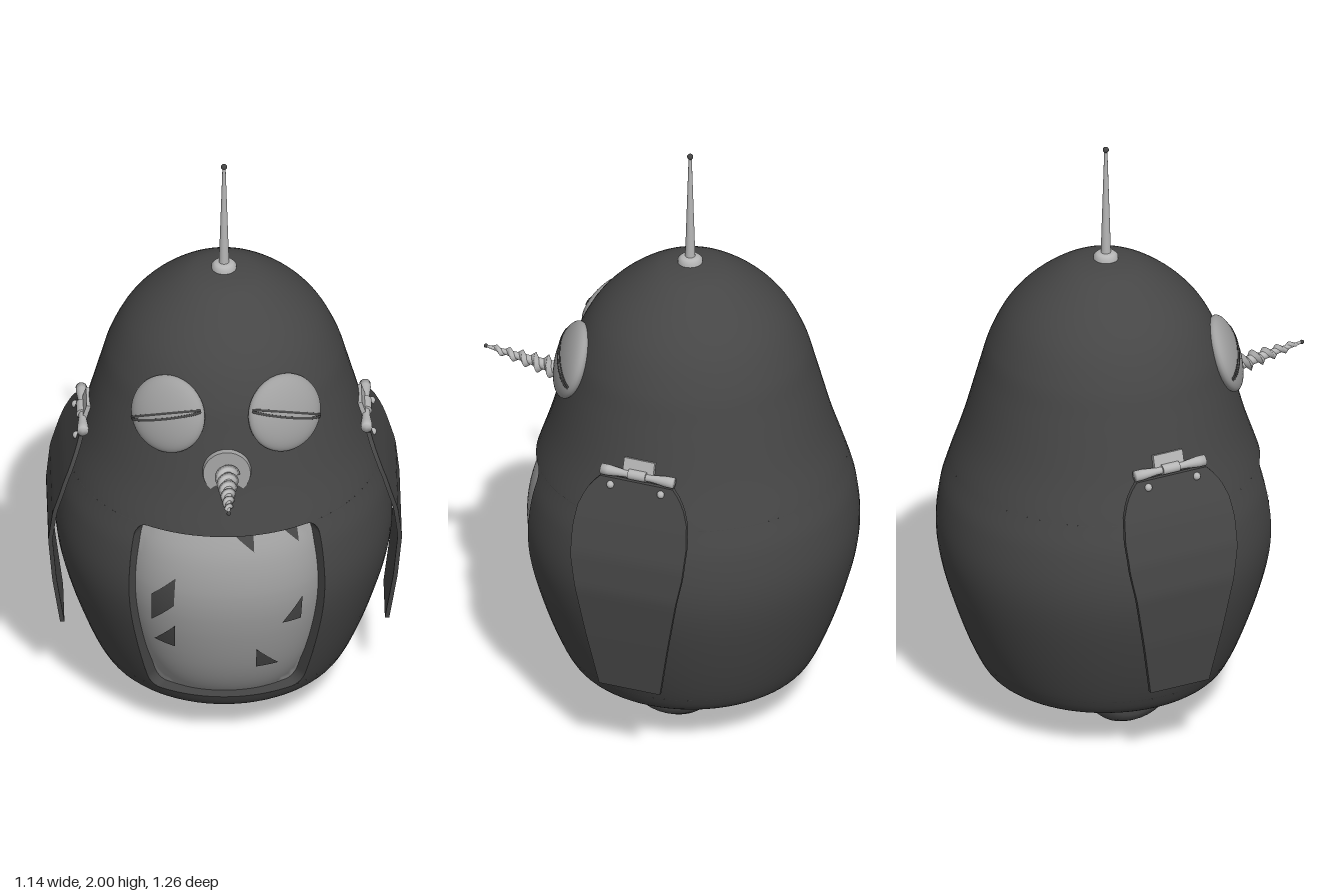
import * as THREE from 'three';
import { ParametricGeometry } from 'three/addons/geometries/ParametricGeometry.js';

const CZ = -0.09;      // z of the body's axis
const OPEN = 0.62;     // half angle of the belly opening
const Y0 = 0.2, Y1 = 0.885;

function material(name, color, side = THREE.FrontSide) {
  const m = new THREE.MeshStandardMaterial({ color, side });
  m.name = name;
  return m;
}

export function createModel() {
  const root = new THREE.Group();
  root.name = 'robotBird';
  const dark = material('charcoal', 0x464646, THREE.DoubleSide);
  const grey = material('grey', 0xa0a0a0, THREE.DoubleSide);
  const metal = material('metal', 0xb6b6b6, THREE.DoubleSide);

  const add = (name, geo, mat, parent = root, x = 0, y = 0, z = 0) => {
    const m = new THREE.Mesh(geo, mat);
    m.name = name;
    m.position.set(x, y, z);
    parent.add(m);
    return m;
  };
  const surface = (fn, nu, nv) => new ParametricGeometry(fn, nu, nv);
  const group = (name, x, y, z) => {
    const g = new THREE.Group();
    g.name = name;
    g.position.set(x, y, z);
    root.add(g);
    return g;
  };
  const lathe = (pts, n = 32) => new THREE.LatheGeometry(pts.map(p => new THREE.Vector2(...p)), n);

  // Body profile (radius, height)
  const profile = new THREE.SplineCurve([
    [0.30, 0.125], [0.37, 0.14], [0.415, Y0], [0.475, 0.35], [0.525, 0.52], [0.542, 0.65],
    [0.53, 0.78], [0.5, Y1], [0.455, 1.02], [0.405, 1.2], [0.372, 1.31], [0.315, 1.42],
    [0.23, 1.51], [0.12, 1.58], [0.004, 1.602],
  ].map(p => new THREE.Vector2(...p)));
  const tOpen0 = 2 / 14, tOpen1 = 7 / 14;
  const samples = profile.getPoints(280);
  const radiusAt = y => {
    const i = Math.max(1, samples.findIndex(p => p.y >= y));
    const a = samples[i - 1], b = samples[i];
    return THREE.MathUtils.lerp(a.x, b.x, (y - a.y) / (b.y - a.y));
  };
  const polar = (r, phi, y, out) => out.set(r * Math.sin(phi), y, CZ + r * Math.cos(phi));

  // Opening half angle, with rounded corners at both ends
  const openAt = y => {
    const s = Math.min(1, Math.max(0, 1 - Math.min(y - Y0, Y1 - y) / 0.045));
    return OPEN - 0.08 * (1 - Math.sqrt(1 - s * s));
  };
  const ease = v => (1 - Math.cos(Math.PI * v)) / 2;

  // Body shell: base, middle with opening, and head
  const band = (t0, t1) => (u, v, out) => {
    const p = profile.getPoint(t0 + (t1 - t0) * v);
    polar(p.x, u * Math.PI * 2, p.y, out);
  };
  add('bodyBase', surface(band(0, tOpen0), 72, 10), dark);
  add('head', surface(band(tOpen1, 1), 72, 40), dark);
  add('bodyMiddle', surface((u, v, out) => {
    const p = profile.getPoint(tOpen0 + (tOpen1 - tOpen0) * ease(v));
    const a = openAt(p.y);
    polar(p.x, a + u * 2 * (Math.PI - a), p.y, out);
  }, 60, 40), dark);
  add('bodyUnderside', new THREE.CircleGeometry(0.302, 64).rotateX(Math.PI / 2), dark, root, 0, 0.125, CZ);

  // Walls of the belly opening
  for (const s of [-1, 1]) {
    add('openingSideWall', surface((u, v, out) => {
      const y = THREE.MathUtils.lerp(Y0, Y1, ease(v));
      polar(radiusAt(y) - 0.06 * u, s * openAt(y), y, out);
    }, 1, 30), dark);
  }
  for (const y of [Y0, Y1]) {
    add('openingEdgeWall', surface((u, v, out) =>
      polar(radiusAt(y) - 0.06 * v, (u * 2 - 1) * 0.54, y, out), 24, 1), dark);
  }

  // Belly panel, bulging inside the opening
  const bellyPoint = (phi, y, lift, out) => {
    const p = phi / 0.66, q = (y - 0.54) / 0.36;
    const inset = 0.01 + 0.034 * Math.min(1, p ** 4 + q ** 4);
    return polar(radiusAt(y) - inset + lift, phi, y, out);
  };
  add('bellyPanel', surface((u, v, out) =>
    bellyPoint((u * 2 - 1) * 0.66, 0.19 + 0.71 * v, 0, out), 32, 32), grey);

  // Dark patches on the belly: corners in x, y, anticlockwise
  const patches = [
    [[0.09, 0.82], [0.09, 0.884], [0.01, 0.884]],
    [[0.245, 0.82], [0.245, 0.884], [0.18, 0.884]],
    [[-0.25, 0.535], [-0.175, 0.62], [-0.17, 0.725], [-0.25, 0.645]],
    [[-0.24, 0.445], [-0.17, 0.435], [-0.17, 0.535]],
    [[0.18, 0.54], [0.245, 0.535], [0.25, 0.63]],
    [[0.095, 0.345], [0.17, 0.345], [0.095, 0.435]],
  ];
  for (const c of patches) {
    const [a, b, d, e = d] = c;
    add('bellyPatch', surface((u, v, out) => {
      const mix = k => THREE.MathUtils.lerp(
        THREE.MathUtils.lerp(a[k], b[k], u), THREE.MathUtils.lerp(e[k], d[k], u), v);
      const x = mix(0), y = mix(1);
      bellyPoint(Math.asin(x / radiusAt(y)), y, 0.004, out);
    }, 6, 6), dark);
  }

  // Eyes with a slanted slit between the lids
  for (const s of [-1, 1]) {
    const eye = group(s > 0 ? 'leftEye' : 'rightEye', s * 0.187, 1.26, 0.25);
    eye.rotation.set(-0.33, s * 0.5, 0, 'YXZ');
    eye.scale.set(0.13, 0.128, 0.045);
    add('eyeball', new THREE.SphereGeometry(1, 32, 24), grey, eye);
    for (const t of [-0.07, 0.07]) {
      const arc = 2.5;
      const slit = new THREE.TorusGeometry(1.005, 0.035, 6, 32, arc)
        .rotateZ((Math.PI - arc) / 2).rotateX(Math.PI / 2 + t);
      add('eyeSlit', slit, dark, eye).rotation.z = -s * 0.36;
    }
  }

  // Screw beak on a round plate
  const beak = group('beak', 0, 1.09, 0.335);
  beak.rotation.x = -0.12;
  add('beakPlate', new THREE.CylinderGeometry(0.076, 0.082, 0.03, 32).rotateX(Math.PI / 2), grey, beak);
  add('beakCore', new THREE.CylinderGeometry(0.004, 0.024, 0.29, 16).rotateX(Math.PI / 2), metal, beak, 0, 0, 0.145);
  add('beakThread', surface((u, v, out) => {
    const a = v * Math.PI * 2 * 5.5;
    const core = 0.022 - 0.016 * v;
    const r = core + (0.02 - 0.012 * v) * (1 - Math.abs(2 * u - 1));
    out.set(r * Math.cos(a), r * Math.sin(a), 0.02 + 0.24 * v + (u - 0.5) * 0.026);
  }, 4, 140), metal, beak);
  add('beakTip', new THREE.SphereGeometry(0.007, 10, 8), dark, beak, 0, 0, 0.288);

  // Antenna
  const antenna = group('antenna', 0, 1.6, -0.085);
  add('antennaBase', lathe([[0.04, -0.015], [0.04, 0.008], [0.03, 0.017], [0.018, 0.02], [0, 0.02]]), metal, antenna);
  add('antennaRod', new THREE.CylinderGeometry(0.005, 0.017, 0.39, 16), metal, antenna, 0, 0.195, 0);
  add('antennaBall', new THREE.SphereGeometry(0.01, 14, 10), dark, antenna, 0, 0.39, 0);

  // Interpolates a short list of [height, value]
  const lookup = (list, y) => {
    for (let i = 1; i < list.length; i++) {
      const [a, va] = list[i - 1], [b, vb] = list[i];
      if (y <= b) return va + (vb - va) * (y - a) / (b - a);
    }
    return list[list.length - 1][1];
  };
  const wingWidth = [[0.29, 0.105], [0.76, 0.193], [0.86, 0.197], [0.93, 0.188], [0.98, 0.168], [1.01, 0.145], [1.03, 0.125]];
  const wingOut = [[0.29, 0.522], [0.48, 0.548], [0.66, 0.562], [0.78, 0.548], [0.9, 0.512], [1.03, 0.462]];

  for (const s of [-1, 1]) {
    // Wing: a thin plate bent around the body
    const wing = group(s > 0 ? 'leftWing' : 'rightWing', 0, 0, -0.085);
    const geo = new THREE.BoxGeometry(0.014, 0.74, 2, 1, 37, 1);
    const p = geo.attributes.position;
    for (let i = 0; i < p.count; i++) {
      const y = p.getY(i) + 0.66;
      p.setXYZ(i, p.getX(i) + s * lookup(wingOut, y), y, p.getZ(i) * lookup(wingWidth, y));
    }
    geo.computeVertexNormals();
    add('wingPlate', geo, dark, wing);

    // Hinge
    const pin = lathe([[0, -0.125], [0.018, -0.125], [0.018, -0.1], [0.012, -0.05], [0.012, 0.05],
      [0.018, 0.1], [0.018, 0.125], [0, 0.125]], 16).rotateX(Math.PI / 2);
    add('hingePin', pin, metal, wing, s * 0.456, 1.048, 0);
    add('hingeLeaf', new THREE.BoxGeometry(0.016, 0.055, 0.105), metal, wing, s * 0.443, 1.07, 0).rotation.z = s * 0.3;
    add('hingeKnuckle', new THREE.CylinderGeometry(0.017, 0.017, 0.06, 16).rotateX(Math.PI / 2), metal, wing, s * 0.458, 1.05, 0);
    for (const z of [-0.087, 0.087]) {
      add('hingeScrew', new THREE.SphereGeometry(0.013, 12, 8), metal, wing, s * 0.476, 1.008, z);
    }

    // Wheel: rounded tyre with a recessed hub
    const wheel = group(s > 0 ? 'leftWheel' : 'rightWheel', s * 0.152, 0.172, -0.082);
    const tyre = lathe([[0, -0.03], [0.085, -0.03], [0.09, -0.052], [0.1, -0.057], [0.135, -0.057],
      [0.158, -0.048], [0.17, -0.028], [0.172, 0], [0.17, 0.028], [0.158, 0.048], [0.135, 0.057],
      [0.1, 0.057], [0.09, 0.052], [0.085, 0.03], [0, 0.03]], 40).rotateZ(Math.PI / 2);
    add('tyre', tyre, dark, wheel);
    add('axle', new THREE.CylinderGeometry(0.03, 0.03, 0.1, 20).rotateZ(Math.PI / 2), dark, wheel);
  }
  return root;
}
